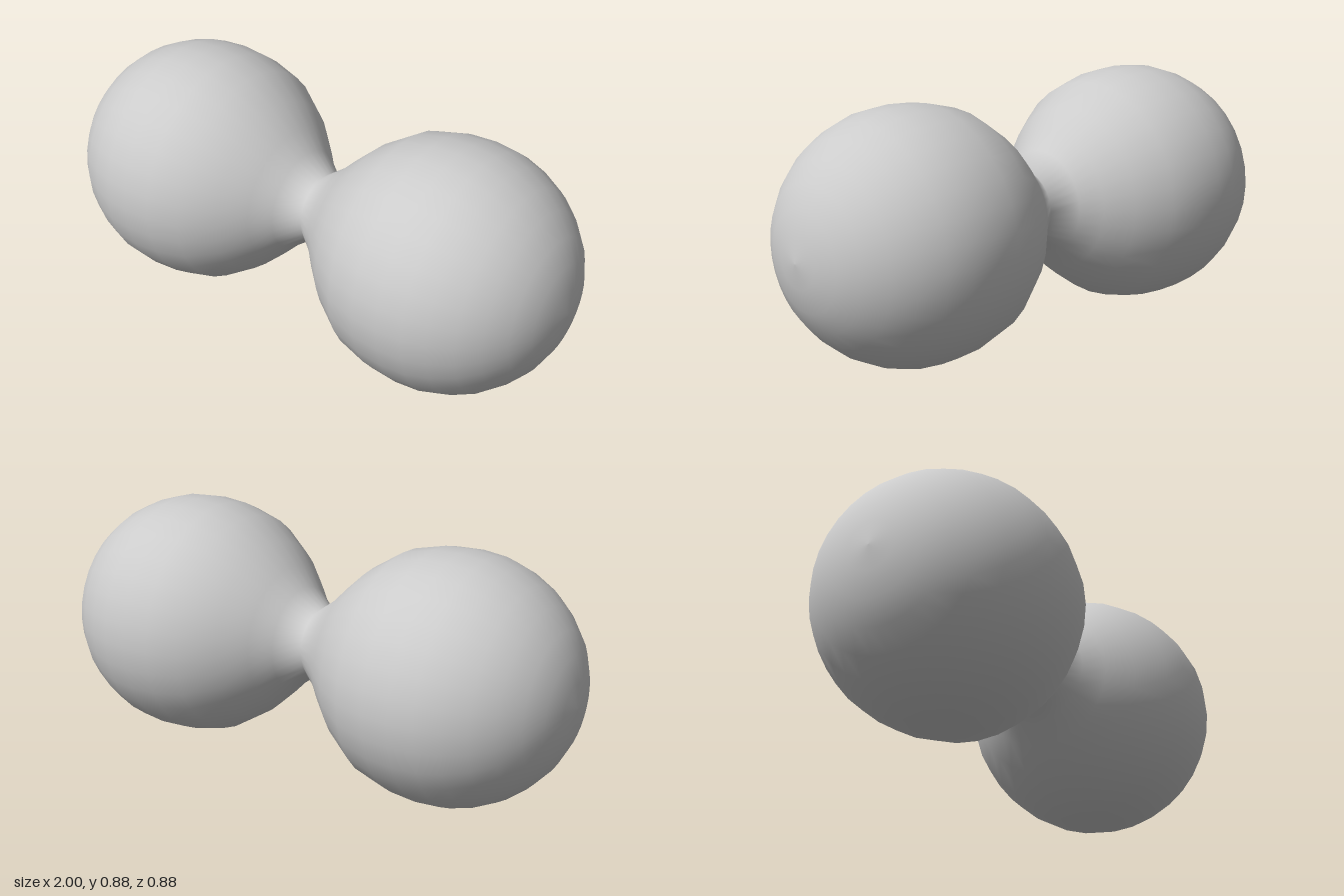
import * as THREE from 'three';

export function createModel() {
  const group = new THREE.Group();
  const material = new THREE.MeshStandardMaterial({ color: 0xcccccc });

  // Half profile [distance from the waist, radius]; mirrored for the other lobe
  const half = [
    [0.08, 0.187], [0.14, 0.25], [0.22, 0.327], [0.335, 0.404],
    [0.45, 0.434], [0.55, 0.441], [0.64, 0.433], [0.72, 0.408], [0.8, 0.367],
    [0.867, 0.312], [0.925, 0.245], [0.966, 0.169], [0.991, 0.086], [1, 0],
  ];
  const right = [...half].reverse().map(([x, r]) => new THREE.Vector2(r, -x));
  const left = half.map(([x, r]) => new THREE.Vector2(r, x));
  const profile = [...right, new THREE.Vector2(0.125, 0), ...left];

  // Two round lobes blended through a narrow waist, lying along x
  const geometry = new THREE.LatheGeometry(profile, 32);
  geometry.rotateZ(-Math.PI / 2);
  const body = new THREE.Mesh(geometry, material);
  body.name = 'twinLobeBody';
  body.position.y = 0.442;
  group.add(body);
  return group;
}
